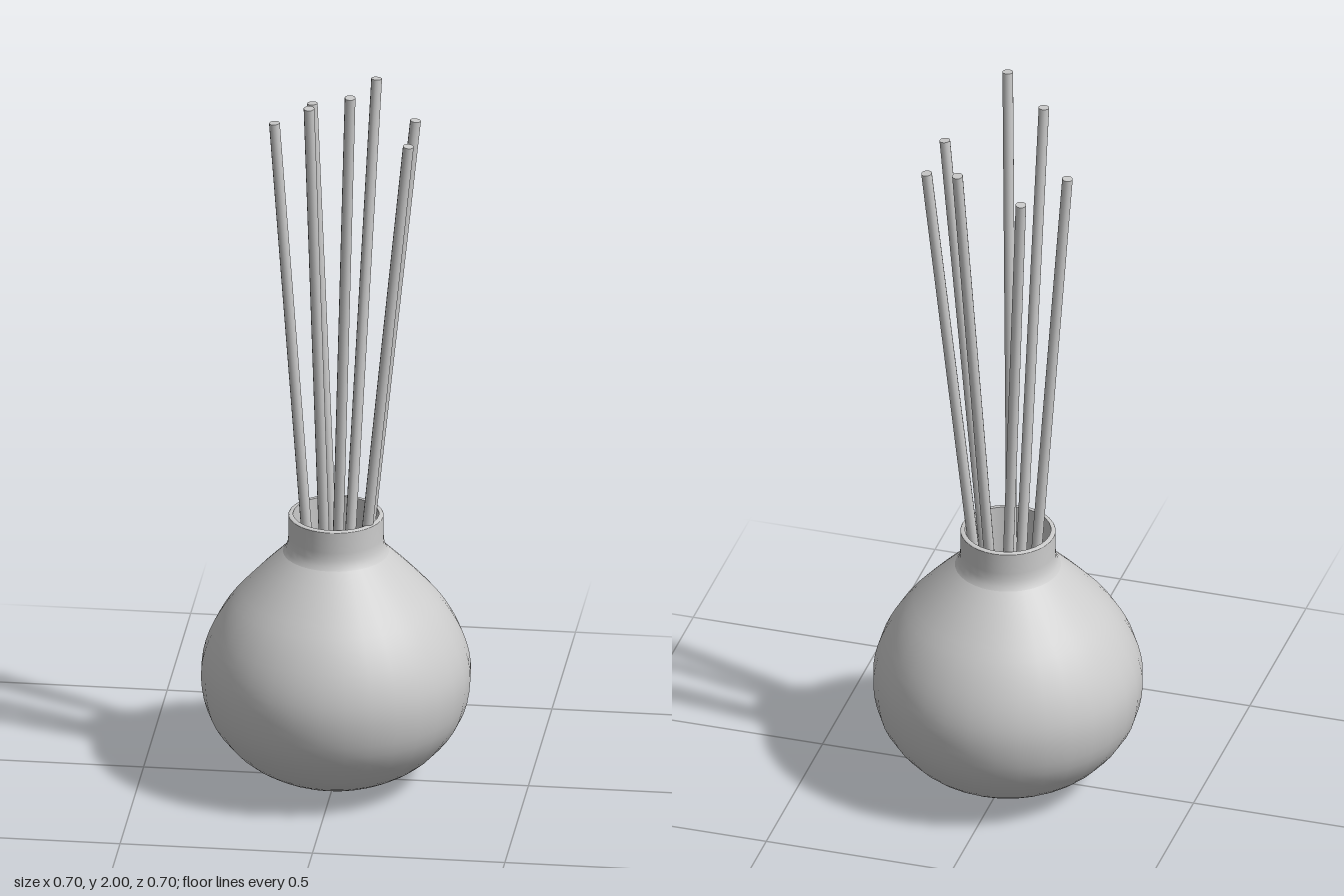
import * as THREE from 'three';

const material = new THREE.MeshStandardMaterial({ color: 0xcccccc, side: THREE.DoubleSide });

function lathe(name, points) {
  const mesh = new THREE.Mesh(new THREE.LatheGeometry(points, 32), material);
  mesh.name = name;
  return mesh;
}

const toPoints = (pairs) => pairs.map(([r, y]) => new THREE.Vector2(r, y));

// Stick running from a base point to a tip point
function makeStick(base, tip) {
  const axis = tip.clone().sub(base);
  const stick = new THREE.Mesh(new THREE.CylinderGeometry(0.014, 0.014, axis.length(), 12), material);
  stick.position.copy(base).add(tip).multiplyScalar(0.5);
  stick.quaternion.setFromUnitVectors(new THREE.Vector3(0, 1, 0), axis.normalize());
  stick.name = 'reedStick';
  return stick;
}

export function createModel() {
  const model = new THREE.Group();
  model.name = 'reedDiffuser';

  // Rounded bottle body
  const bodyCurve = new THREE.SplineCurve(toPoints([
    [0.1, 0.01], [0.175, 0.034], [0.258, 0.089], [0.326, 0.18], [0.349, 0.285],
    [0.334, 0.38], [0.285, 0.475], [0.212, 0.56], [0.137, 0.635],
  ]));
  model.add(lathe('bottleBody', bodyCurve.getPoints(28)));
  model.add(lathe('bottleBase', toPoints([[0, 0], [0.06, 0.002], [0.1, 0.01]])));

  // Neck with a flared foot, a flat rim and an inner wall
  model.add(lathe('neckOuter', toPoints([
    [0.137, 0.635], [0.13, 0.645], [0.125, 0.66], [0.123, 0.68], [0.123, 0.737],
  ])));
  model.add(lathe('neckRim', toPoints([[0.123, 0.737], [0.121, 0.74], [0.111, 0.74]])));
  model.add(lathe('neckInner', toPoints([[0.111, 0.74], [0.111, 0.5]])));

  // Liquid surface inside the bottle
  const liquid = new THREE.Mesh(new THREE.CircleGeometry(0.111, 32), material);
  liquid.rotation.x = -Math.PI / 2;
  liquid.position.y = 0.5;
  liquid.name = 'liquidSurface';
  model.add(liquid);

  // Fanned sticks: base x, base z, tip x, tip y, tip z
  const sticks = new THREE.Group();
  sticks.name = 'reedSticks';
  const layout = [
    [-0.015, -0.07, -0.08, 1.825, -0.149],
    [0.023, -0.042, 0.085, 1.895, -0.169],
    [0.063, -0.024, 0.198, 1.825, -0.071],
    [0.064, 0.046, 0.2, 1.825, 0.098],
    [0.008, 0.062, 0.061, 1.998, 0.199],
    [-0.022, 0.022, -0.052, 1.94, 0.148],
    [-0.062, 0.001, -0.16, 1.83, 0.001],
  ];
  for (const [bx, bz, tx, ty, tz] of layout) {
    sticks.add(makeStick(new THREE.Vector3(bx, 0.49, bz), new THREE.Vector3(tx, ty, tz)));
  }
  model.add(sticks);

  return model;
}
